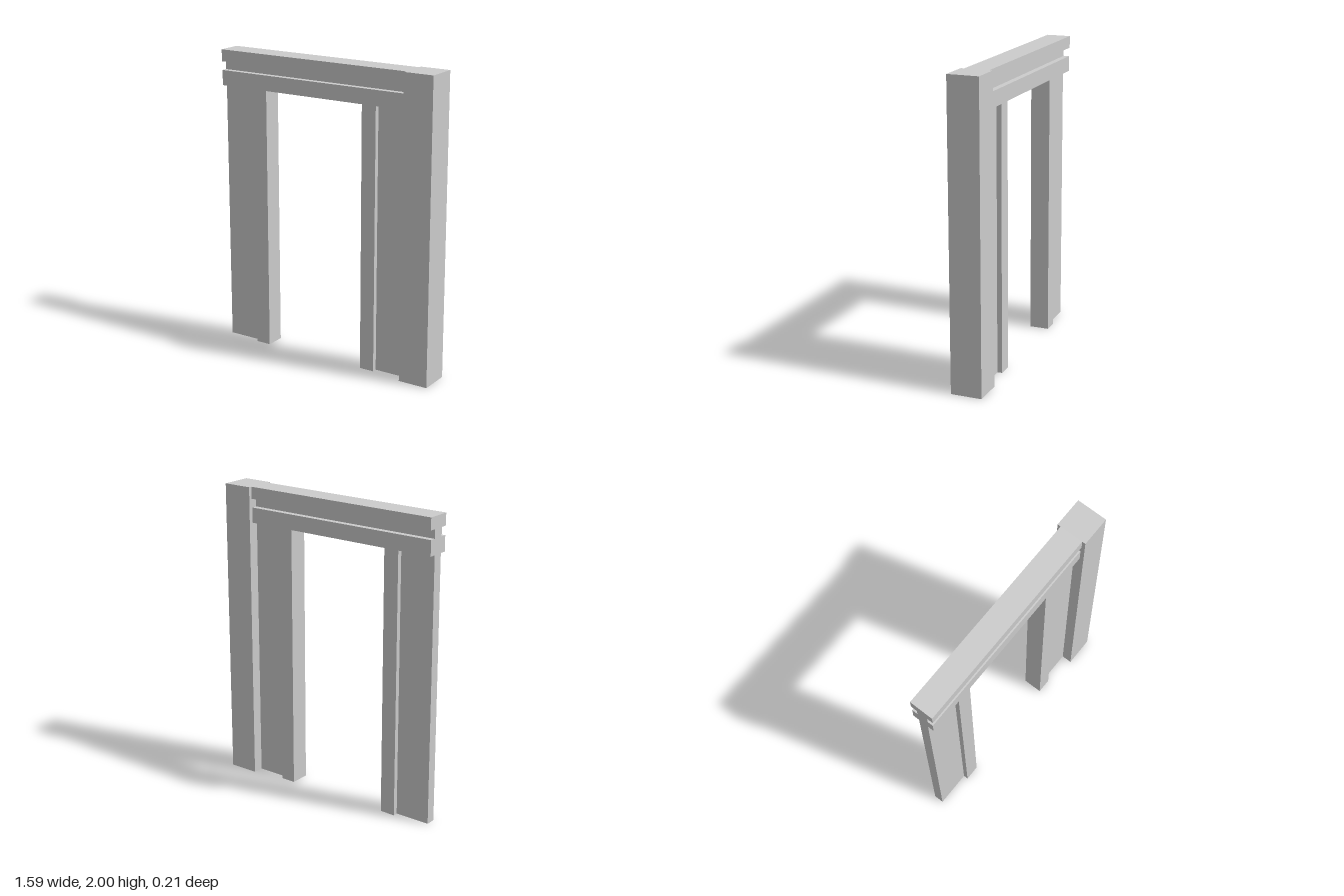
import * as THREE from 'three';

const grey = new THREE.MeshStandardMaterial({ color: 0xcccccc, flatShading: true });
const greyOpen = new THREE.MeshStandardMaterial({ color: 0xcccccc, flatShading: true, side: THREE.DoubleSide });

const HALF = 0.795;       // half the overall width
const POST_IN = 0.593;    // inner face of the corner post
const LINTEL_Y = 1.762;   // underside of the lintel

// Upright hollow walls following a floor plan of [x, z] corners, open at both ends
function wallsFromPlan(plan, height) {
  const pos = [];
  plan.forEach(([x0, z0], i) => {
    const [x1, z1] = plan[(i + 1) % plan.length];
    pos.push(x0, 0, z0, x1, 0, z1, x1, height, z1);
    pos.push(x0, 0, z0, x1, height, z1, x0, height, z0);
  });
  const geo = new THREE.BufferGeometry();
  geo.setAttribute('position', new THREE.Float32BufferAttribute(pos, 3));
  geo.computeVertexNormals();
  return geo;
}

// T-shaped plan: thin panel from a to b, thicker stop from b to c
function jamb(name, a, b, c) {
  const thin = 0.033, thick = 0.065;
  const half = [[a, thin], [b, thin], [b, thick], [c, thick]];
  const plan = [...half, ...half.map(([x, z]) => [x, -z]).reverse()];
  if (c < a) plan.reverse(); // keep the walls facing outwards
  const mesh = new THREE.Mesh(wallsFromPlan(plan, LINTEL_Y), greyOpen);
  mesh.name = name;
  return mesh;
}

export function createModel() {
  const group = new THREE.Group();
  group.name = 'doorFrame';

  // Full-height corner post
  const post = new THREE.Mesh(new THREE.BoxGeometry(HALF - POST_IN, 2, 0.206), grey);
  post.position.set((HALF + POST_IN) / 2, 1, 0);
  post.name = 'cornerPost';
  group.add(post);

  // Side jambs
  group.add(jamb('rightJamb', -HALF, -0.555, -0.452));
  group.add(jamb('leftJamb', POST_IN, 0.377, 0.276));

  // Lintel with a groove along both faces
  const side = [[0.076, LINTEL_Y], [0.076, 1.863], [0.037, 1.863], [0.037, 1.921], [0.08, 1.921], [0.08, 2]];
  const profile = [...side, ...side.map(([z, y]) => [-z, y]).reverse()];
  const shape = new THREE.Shape(profile.map(([z, y]) => new THREE.Vector2(z, y)));
  const geo = new THREE.ExtrudeGeometry(shape, { depth: POST_IN + HALF, bevelEnabled: false });
  geo.rotateY(Math.PI / 2).translate(-HALF, 0, 0);
  const lintel = new THREE.Mesh(geo, grey);
  lintel.name = 'lintel';
  group.add(lintel);

  return group;
}
